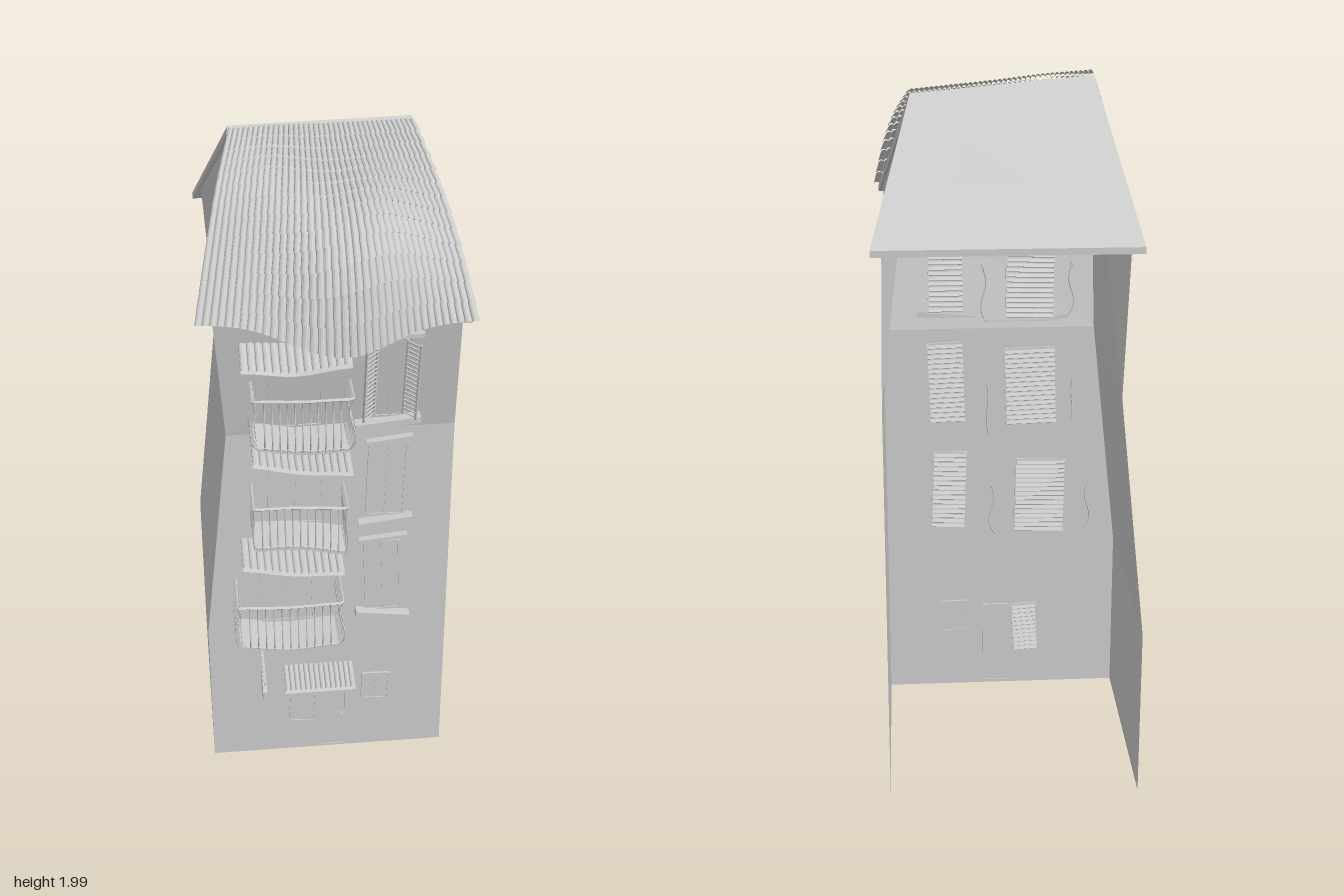
import * as THREE from 'three';

const mat = new THREE.MeshStandardMaterial({ color: 0xcccccc, flatShading: true, side: THREE.DoubleSide });
const V = (x, y, z) => new THREE.Vector3(x, y, z);
const lerp = THREE.MathUtils.lerp;
// front wall: upright, then leaning out above the second floor
const LEAN = 0.2;
const wallZ = y => 0.215 + Math.max(0, y - 1.2) * LEAN;

function mesh(parent, name, geo) {
  const m = new THREE.Mesh(geo, mat);
  m.name = name;
  parent.add(m);
  return m;
}

function box(parent, name, w, h, d, x, y, z) {
  const m = mesh(parent, name, new THREE.BoxGeometry(w, h, d));
  m.position.set(x, y, z);
  return m;
}

function fromTriangles(tris) {
  const g = new THREE.BufferGeometry().setFromPoints(tris);
  g.computeVertexNormals();
  return g;
}

function group(parent, name, x = 0, y = 0, z = 0) {
  const g = new THREE.Group();
  g.name = name;
  g.position.set(x, y, z);
  parent.add(g);
  return g;
}

// crooked walls, open at the back and below: back-left, front-left, front-right, back-right per level
function walls(parent) {
  const level = (y, l, r) => [V(l, y, -0.435), V(l, y, 0.215), V(r, y, 0.215), V(r, y, -0.435)];
  const rings = [
    level(0, -0.365, 0.345), level(0.5, -0.365, 0.343), level(1.2, -0.29, 0.34),
    [V(-0.315, 1.65, -0.38), V(-0.315, 1.605, 0.285), V(0.33, 1.62, 0.305), V(0.33, 1.675, -0.38)],
  ];
  const t = [];
  const quad = (a, b, c, d) => t.push(a, b, c, a, c, d);
  for (let k = 0; k < 2; k++) for (let i = 0; i < 3; i++) {
    quad(rings[k][i], rings[k][i + 1], rings[k + 1][i + 1], rings[k + 1][i]);
  }
  // leaning front, then each gable as a fan from its ridge point
  const [, , m, e] = rings;
  quad(m[1], m[2], e[2], e[1]);
  const fan = (top, ...p) => { for (let i = 0; i < 3; i++) t.push(top, p[i], p[i + 1]); };
  fan(V(-0.235, 1.962, -0.05), e[0], m[0], m[1], e[1]);
  fan(V(0.24, 1.932, -0.14), e[2], m[2], m[3], e[3]);
  mesh(parent, 'walls', fromTriangles(t));
}

// thin plate spanning four corners (a-b upper edge, c-d lower edge)
function slab(parent, name, a, b, c, d, t) {
  const g = new THREE.BoxGeometry(1, 1, 1), p = g.attributes.position;
  for (let i = 0; i < p.count; i++) {
    const u = p.getX(i) + 0.5, v = p.getZ(i) + 0.5;
    const q = a.clone().lerp(b, u).lerp(c.clone().lerp(d, u), v);
    p.setXYZ(i, q.x, q.y + (p.getY(i) - 0.5) * t, q.z);
  }
  g.computeVertexNormals();
  mesh(parent, name, g);
}

// rows of half-round tiles laid over the surface P(u, v)
function tiles(parent, name, P, cols, rows, r, lift) {
  const t = [], N = 6, e = 0.01;
  const ring = (i, v, raise) => Array.from({ length: N + 1 }, (_, s) => {
    const a = Math.PI * (1 - s / N), u = (i + 0.5 + 0.5 * Math.cos(a)) / cols;
    const du = P(u + e, v).sub(P(u - e, v)), dv = P(u, v + e).sub(P(u, v - e));
    return P(u, v).addScaledVector(dv.cross(du).normalize(), r * Math.sin(a) + raise);
  });
  for (let j = 0; j < rows; j++) for (let i = 0; i < cols; i++) {
    const A = ring(i, j / rows, 0), B = ring(i, Math.min(1, (j + 1.1) / rows), lift);
    for (let s = 0; s < N; s++) t.push(A[s], B[s], B[s + 1], A[s], B[s + 1], A[s + 1]);
  }
  mesh(parent, name, fromTriangles(t));
}

// sagging, billowing tiled front slope
function roofSurface(u, v) {
  const bell = (x, c, w) => Math.exp(-(((x - c) / w) ** 2));
  const edge = bell(u, 0.5, 0.23), arch = Math.sin(Math.PI * v);
  const rise = 0.135 * bell(u, 0.6, 0.26) * Math.sin(Math.PI * Math.max(0, v) ** 2)
    + 0.045 * bell(u, 0.25, 0.2) * bell(v, 0.4, 0.25) + 0.045 * arch;
  return V(
    lerp(lerp(-0.245, 0.25, u), lerp(-0.36, 0.36, u), v),
    lerp(lerp(1.988, 1.955, u), 1.605 - 0.028 * edge, v) + rise * 0.85,
    lerp(lerp(-0.02, -0.11, u), lerp(0.31, 0.36, u) + 0.115 * edge, v) + rise * 0.3);
}

function roof(parent) {
  const g = group(parent, 'roof');
  const L = V(-0.245, 1.985, -0.05), R = V(0.25, 1.955, -0.14);
  slab(g, 'backSlope', R, L, V(0.36, 1.615, -0.46), V(-0.34, 1.61, -0.445), 0.018);
  slab(g, 'frontSlope', L, R, V(-0.33, 1.615, 0.285), V(0.345, 1.61, 0.345), 0.018);
  tiles(g, 'roofTiles', roofSurface, 38, 13, 0.008, 0.007);
}

// small wavy tiled canopy: top edge at the wall, left end set back by skew
function canopy(parent, x, y, w, z0, z1, drop, tilt, wave, skew) {
  const g = group(parent, 'canopy', x, y, 0);
  const P = (u, v) => V((u - 0.5) * w, (u - 0.5) * tilt + wave * Math.cos(u * 6.3) - v * drop,
    lerp(z0, z1 - skew * (1 - u), v));
  tiles(g, 'canopyTiles', P, 14, 2, 0.007, 0.004);
  const t = [];
  for (let i = 0; i < 8; i++) {
    const [a, b, c, d] = [P(i / 8, 0), P(i / 8, 1), P((i + 1) / 8, 1), P((i + 1) / 8, 0)];
    for (const q of [a, b, c, d]) q.y -= 0.006;
    t.push(a, b, c, a, c, d);
  }
  mesh(g, 'canopyBoard', fromTriangles(t));
}

// balcony with curved railing bars; belly swells the bars outwards
function balcony(parent, x, y, w, h, belly, tilt, wave) {
  const g = group(parent, 'balcony', x, y, wallZ(y));
  const D = 0.12, bend = px => tilt * px / w + wave * Math.cos(px / w * 6.3);
  const floor = new THREE.BoxGeometry(w * 0.9, 0.014, D, 10, 1, 1).translate(0, 0, D / 2);
  const p = floor.attributes.position;
  for (let i = 0; i < p.count; i++) p.setY(i, p.getY(i) + bend(p.getX(i)));
  mesh(g, 'balconyFloor', floor);
  // foot positions around the three open sides, with outward directions
  const feet = [], hw = w * 0.45;
  for (let i = 0; i < 4; i++) feet.push([-hw, D * i / 4, -1, 0]);
  for (let i = 0; i <= 12; i++) feet.push([lerp(-hw, hw, i / 12), D, i === 0 ? -1 : i === 12 ? 1 : 0, 1]);
  for (let i = 3; i >= 0; i--) feet.push([hw, D * i / 4, 1, 0]);
  const at = ([fx, fz, ox, oz], s) => {
    const o = belly * (Math.sin(Math.PI * 2 * s) * 0.5 + 0.5 * s + 0.25 * Math.sin(Math.PI * s));
    return V(fx + ox * o, s * h + bend(fx) * (1 - 0.6 * s), fz + oz * o);
  };
  for (const f of feet) {
    const c = new THREE.CatmullRomCurve3([0, 0.2, 0.4, 0.6, 0.8, 1].map(s => at(f, s)));
    mesh(g, 'railingBar', new THREE.TubeGeometry(c, 8, 0.0022, 4));
  }
  for (const s of [0.06, 1]) {
    const c = new THREE.CatmullRomCurve3(feet.map(f => at(f, s)), false, 'catmullrom', 0.1);
    mesh(g, 'rail', new THREE.TubeGeometry(c, 50, s === 1 ? 0.005 : 0.003, 4));
  }
}

function slats(parent, w, h, z) {
  const n = Math.round(h / 0.0152);
  for (let i = 0; i < n; i++) box(parent, 'slat', w, 0.011, 0.003, 0, ((i + 0.5) / n - 0.5) * h, z).rotation.x = 0.6;
}

// glazed opening lying on the wall, with frame strips; blind adds slats behind the pane
function opening(parent, name, x, y, w, h, panes, roll = 0, blind = false) {
  const g = group(parent, name, x, y, wallZ(y));
  g.rotation.set(y > 1.2 ? Math.atan(LEAN) : 0, 0, roll);
  box(g, 'pane', w, h, 0.006, 0, 0, 0);
  for (const s of [-1, 1]) {
    box(g, 'jamb', 0.007, h, 0.014, s * w / 2, 0, 0);
    box(g, 'crossbar', w, 0.006, 0.012, 0, s * h / 2, 0);
  }
  for (let i = 1; i < panes; i++) box(g, 'mullion', 0.005, h, 0.01, (i / panes - 0.5) * w, 0, 0);
  if (blind) slats(g, w, h, -0.009);
  return g;
}

function ledge(parent, name, x, y, w, h, d, roll) {
  box(parent, name, w, h, d, x, y, wallZ(y) + d / 2).rotation.z = roll;
}

function hangingSign(parent) {
  const g = group(parent, 'hangingSign', -0.21, 0, 0);
  box(g, 'signArm', 0.008, 0.008, 0.185, 0, 0.45, 0.307);
  box(g, 'wallPlate', 0.014, 0.04, 0.006, 0, 0.445, 0.218);
  for (const z of [0.31, 0.365]) box(g, 'hanger', 0.004, 0.04, 0.004, 0, 0.43, z);
  const b = mesh(g, 'signBoard', new THREE.CylinderGeometry(0.047, 0.047, 0.012, 8, 1, false, Math.PI / 8));
  b.rotation.z = Math.PI / 2;
  b.scale.x = 0.8;
  b.position.set(0, 0.385, 0.337);
}

export function createModel() {
  const house = new THREE.Group();
  house.name = 'crookedHouse';
  walls(house);
  roof(house);

  // three balconies with doors and canopies
  balcony(house, -0.09, 1.22, 0.27, 0.165, 0.022, -0.02, -0.005);
  balcony(house, -0.098, 0.885, 0.28, 0.145, 0.006, -0.035, 0.006);
  balcony(house, -0.13, 0.525, 0.31, 0.165, 0.022, -0.01, -0.008);
  canopy(house, -0.107, 1.525, 0.285, 0.27, 0.395, 0.035, 0.03, 0.008, 0.045);
  canopy(house, -0.09, 1.172, 0.27, 0.215, 0.355, 0.015, -0.03, 0.004, 0.02);
  canopy(house, -0.118, 0.825, 0.285, 0.215, 0.355, 0.015, -0.02, 0.005, 0.02);
  opening(house, 'balconyDoor', -0.1, 1.345, 0.14, 0.24, 2, 0.03, true);
  opening(house, 'balconyDoor', -0.1, 1.015, 0.15, 0.24, 2, -0.03, true);
  opening(house, 'balconyDoor', -0.13, 0.655, 0.15, 0.24, 2, 0.02, true);

  // column of tall windows
  opening(house, 'window', 0.155, 1.03, 0.105, 0.25, 2, -0.03, true);
  opening(house, 'window', 0.15, 0.68, 0.1, 0.25, 2, 0.04, true);
  const top = opening(house, 'topWindow', 0.153, 1.385, 0.1, 0.28, 2, 0, true);
  for (const s of [-1, 1]) {
    const sh = group(top, 'shutter', s * 0.055, 0, 0.018);
    sh.rotation.y = -s * 0.7;
    for (const k of [-1, 1]) box(sh, 'shutterStile', 0.006, 0.27, 0.006, k * 0.02, 0, 0);
    slats(sh, 0.04, 0.27, 0);
  }
  ledge(house, 'lintel', 0.16, 1.538, 0.145, 0.012, 0.025, 0.02);
  ledge(house, 'sill', 0.15, 1.235, 0.18, 0.018, 0.035, 0.1);
  ledge(house, 'lintel', 0.16, 1.165, 0.13, 0.01, 0.02, 0.12);
  ledge(house, 'sill', 0.153, 0.89, 0.155, 0.018, 0.03, 0.12);
  ledge(house, 'lintel', 0.148, 0.825, 0.14, 0.01, 0.02, 0.1);
  ledge(house, 'sill', 0.15, 0.545, 0.16, 0.018, 0.03, -0.14);

  // ground floor
  canopy(house, -0.04, 0.345, 0.21, 0.215, 0.31, 0.018, 0, 0, 0);
  opening(house, 'shopWindow', -0.085, 0.2, 0.075, 0.16, 1, -0.06, true);
  const door = opening(house, 'frontDoor', 0.005, 0.145, 0.08, 0.27, 1);
  box(door, 'doorHandle', 0.006, 0.02, 0.014, 0.028, -0.01, 0.006);
  opening(house, 'smallWindow', 0.137, 0.245, 0.08, 0.1, 2, -0.03);
  hangingSign(house);
  return house;
}
